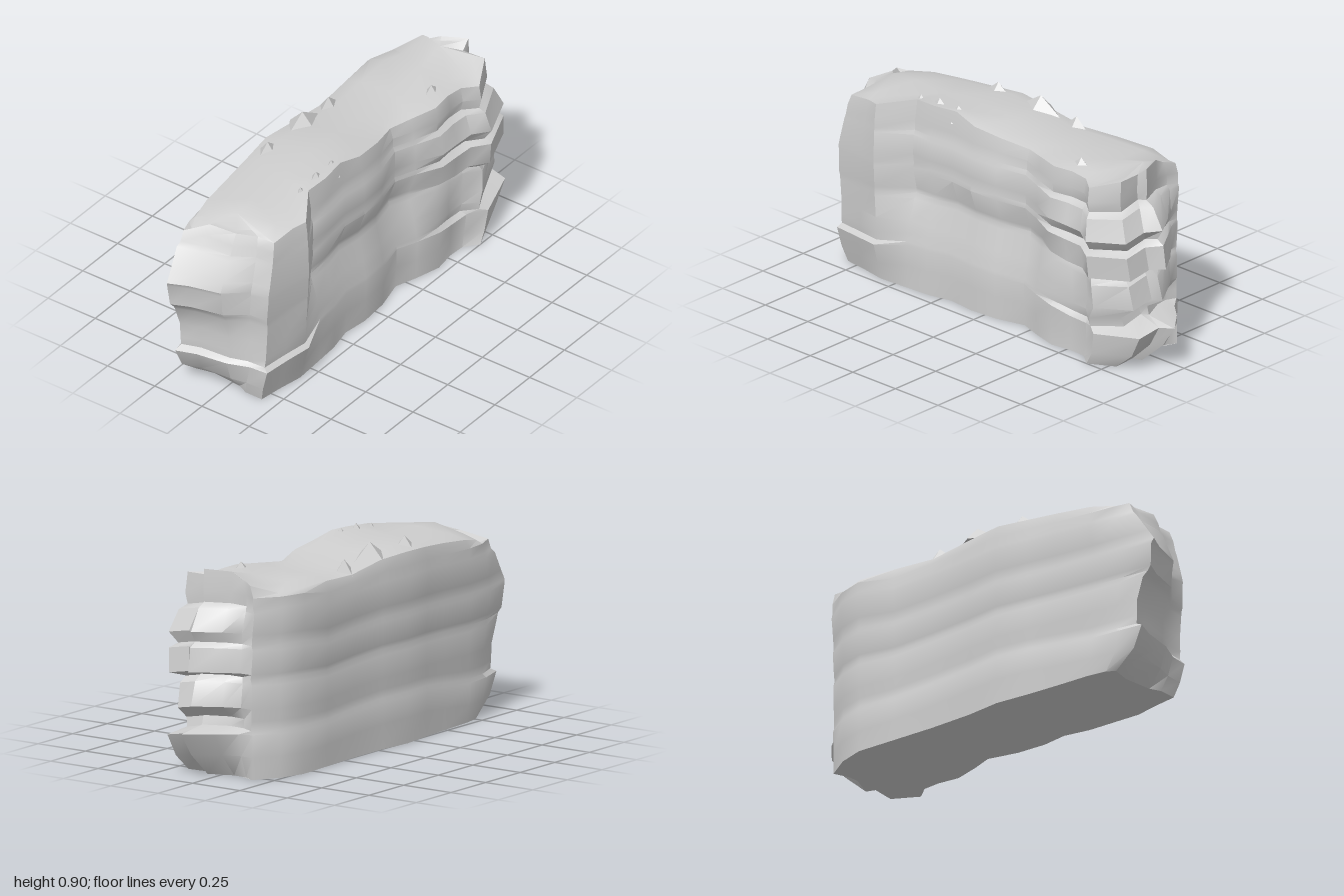
import * as THREE from 'three';
import { toCreasedNormals, mergeVertices } from 'three/addons/utils/BufferGeometryUtils.js';

// Plan outline: x, z, and how strongly the point follows the end profiles
const OUTLINE = [
  [-1, -0.2, 1], [-0.86, -0.225, 0.5], [-0.7, -0.24, 0.15], [-0.5, -0.25, 0], [-0.35, -0.262, 0], [-0.19, -0.28, 0],
  [-0.03, -0.265, 0], [0.18, -0.265, 0], [0.38, -0.275, 0], [0.57, -0.285, 0], [0.69, -0.25, 0],
  [0.8, -0.18, 0], [0.83, -0.13, 0.3], [0.91, -0.05, 0.75], [1, 0.06, 1], [0.93, 0.11, 0.85],
  [0.92, 0.22, 0.75], [0.71, 0.285, 0.25], [0.62, 0.235, 0.1], [0.52, 0.23, 0], [0.42, 0.235, 0],
  [0.3, 0.185, 0], [0.2, 0.15, 0], [0.06, 0.185, 0], [-0.08, 0.195, 0], [-0.2, 0.18, 0], [-0.32, 0.19, 0],
  [-0.43, 0.18, 0], [-0.58, 0.262, 0], [-0.72, 0.24, 0.1], [-0.86, 0.225, 0.25], [-0.87, 0.14, 0.3],
  [-0.92, 0.04, 0.65], [-0.96, -0.1, 0.9],
];

// Strata: height, then insets of right end, left end, front (+x, middle, -x) and back
const STRATA = [
  [0, 0.19, 0.21, 0.035, 0.008, 0.05, 0.013],
  [0.1, 0.07, 0.11, 0.035, 0.004, 0.03, 0.012],
  [0.195, 0.0, 0.065, 0.028, 0.002, 0.005, 0.01],
  [0.212, 0.15, 0.1, 0.05, 0.005, 0.025, 0.017],
  [0.25, 0.16, 0.095, 0.042, 0.01, 0.02, 0.016],
  [0.3, 0.07, 0.095, 0.045, 0.02, 0.018, 0.014],
  [0.4, 0.1, 0.06, 0.04, 0.042, 0.012, 0.012],
  [0.425, 0.14, 0.04, 0.05, 0.047, 0.012, 0.02],
  [0.445, 0.05, 0.02, 0.01, 0.044, 0.01, 0.016],
  [0.545, 0.065, 0.01, 0.0, 0.01, 0.005, 0.008],
  [0.565, 0.1, 0.0, 0.03, 0.015, 0.005, 0.014],
  [0.61, 0.07, 0.03, -0.003, 0.01, 0.005, 0.01],
  [0.7, 0.125, 0.09, 0.02, 0.012, 0.008, 0.0],
  [0.72, 0.165, 0.11, 0.045, 0.022, 0.01, 0.006],
  [0.765, 0.16, 0.13, 0.035, 0.022, 0.012, 0.006],
  [0.84, 0.165, 0.17, 0.045, 0.036, 0.02, 0.022],
];

// Crest height along the length
const CREST = [[-1, 0.79], [-0.84, 0.8], [-0.74, 0.84], [-0.45, 0.87], [-0.2, 0.885], [0, 0.875],
  [0.2, 0.845], [0.5, 0.865], [0.68, 0.85], [0.74, 0.88], [0.81, 0.9], [1, 0.9]];

const ss = THREE.MathUtils.smoothstep;

function crest(x) {
  for (let i = 1; i < CREST.length; i++) {
    const [x0, y0] = CREST[i - 1], [x1, y1] = CREST[i];
    if (x <= x1) return THREE.MathUtils.lerp(y0, y1, Math.max(0, (x - x0) / (x1 - x0)));
  }
  return 0.9;
}

// One horizontal loop of the rock
function stratum([y, right, left, frontR, frontM, frontL, back], level) {
  const isTop = level === STRATA.length - 1;
  return OUTLINE.map(([x, z, end]) => {
    const wR = ss(x, 0.3, 0.5), wL = 1 - ss(x, -0.58, -0.43);
    // The recess beside the -x buttress fills in towards the foot
    const fill = x > -0.5 && x < -0.25 ? (-x - 0.22) * 0.15 * (1 - ss(y, 0.35, 0.52)) : 0;
    const front = frontR * wR + frontL * wL + frontM * (1 - wR - wL) - fill;
    // The front corner of the -x end leans inwards as it rises
    const lean = x < -0.7 && z > 0.1 ? 0.07 * y : 0;
    const px = x - Math.sign(x) * end * (x > 0 ? right : left) + lean;
    const pz = z > 0.1 ? z - front : z < -0.1 ? z + back : z;
    let py = y;
    if (isTop) {
      const frontDrop = x > -0.5 && x < -0.1 ? 0.008 : 0.03;
      py = crest(px) - (z > 0.1 ? frontDrop : 0.05 * ss(-z, 0.06, 0.18));
    } else if (level > 0) {
      // Beds wave along the length and dip towards the front at the +x end
      py += 0.012 * Math.sin(x * 4 + 2.2) * (1 - end);
      py += x > 0.5 ? 0.05 * y - 0.18 * Math.max(0, z - 0.06) : 0;
      if (y < 0.28) py -= 0.02 * wL;
    }
    return [px, py, pz];
  });
}

// Pull a loop towards the long centre line to close it
function shrink(loop, t, height) {
  return loop.map(([x, y, z], i) => {
    const cx = THREE.MathUtils.clamp(Math.round(OUTLINE[i][0] * 5) / 5, -0.72, 0.74);
    const px = THREE.MathUtils.lerp(x, cx, t);
    return [px, height(px, y), THREE.MathUtils.lerp(z, -0.02, t)];
  });
}

function loft(loops) {
  const n = OUTLINE.length, index = [];
  for (let j = 0; j < loops.length - 1; j++) {
    for (let i = 0; i < n; i++) {
      const a = j * n + i, b = j * n + (i + 1) % n;
      index.push(a, a + n, b, b, a + n, b + n);
    }
  }
  const g = new THREE.BufferGeometry();
  g.setAttribute('position', new THREE.Float32BufferAttribute(loops.flat(2), 3));
  g.setIndex(index);
  return toCreasedNormals(mergeVertices(g, 1e-4), 0.6);
}

export function createModel() {
  const group = new THREE.Group();
  group.name = 'rockWall';
  const stone = new THREE.MeshStandardMaterial({ color: 0xd0d0d0 });
  stone.name = 'grey stone';

  // Layered body with flat base and slightly dished crest
  const walls = STRATA.map(stratum);
  const rim = walls[walls.length - 1];
  const loops = [
    shrink(walls[0], 1, () => 0),
    ...walls,
    shrink(rim, 0.3, (x, y) => y * 0.4 + crest(x) * 0.6 - 0.01),
    shrink(rim, 1, (x) => crest(x) - 0.025 * (1 - ss(Math.abs(x), 0.4, 0.74))),
  ];
  const body = new THREE.Mesh(loft(loops), stone);
  body.name = 'layeredRock';
  group.add(body);

  // Broad faceted shards half sunk in the crest: x, z, width, tip height
  const shards = [[-0.44, 0.11, 0.07, 0.872], [-0.33, 0.11, 0.08, 0.89], [-0.22, 0.11, 0.08, 0.888],
    [-0.27, -0.19, 0.09, 0.885], [-0.02, -0.19, 0.11, 0.9], [0.18, -0.2, 0.08, 0.86], [0.5, 0.11, 0.09, 0.868]];
  shards.forEach(([x, z, w, tip], i) => {
    const g = new THREE.ConeGeometry(w, 0.07, 4).toNonIndexed();
    g.computeVertexNormals();
    const shard = new THREE.Mesh(g, stone);
    shard.name = 'crestShard' + (i + 1);
    shard.scale.z = 0.6;
    shard.position.set(x, tip - 0.035, z);
    group.add(shard);
  });
  return group;
}
